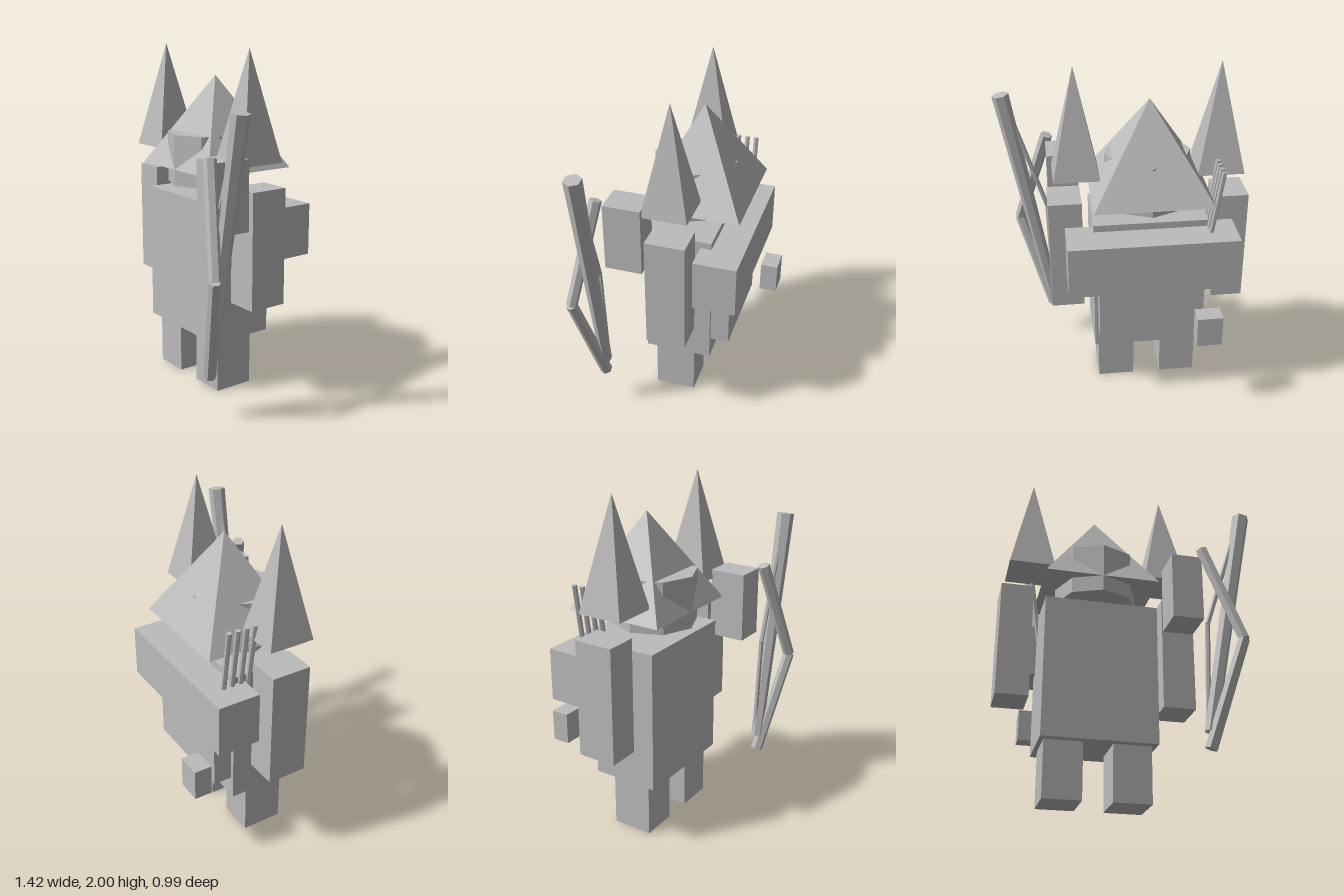
import * as THREE from 'three';

export function createModel() {
  const model = new THREE.Group();
  model.name = 'blockyArcher';
  const grey = new THREE.MeshStandardMaterial({ color: 0xbcbcbc });
  grey.name = 'plainGrey';
  grey.flatShading = true;

  const add = (name, geometry, parent = model) => {
    const mesh = new THREE.Mesh(geometry, grey);
    mesh.name = name;
    parent.add(mesh);
    return mesh;
  };
  const group = (name) => {
    const g = new THREE.Group();
    g.name = name;
    model.add(g);
    return g;
  };
  // Box given by its extents on each axis
  const box = (name, [x0, x1], [y0, y1], [z0, z1]) =>
    add(name, new THREE.BoxGeometry(x1 - x0, y1 - y0, z1 - z0))
      .position.set((x0 + x1) / 2, (y0 + y1) / 2, (z0 + z1) / 2);
  // Four-sided pyramid with its sides along the axes
  const pyramid = (name, x, z, width, depth, y0, y1) => {
    const g = new THREE.ConeGeometry(Math.SQRT1_2, y1 - y0, 4);
    g.rotateY(Math.PI / 4).scale(width, 1, depth);
    add(name, g).position.set(x, (y0 + y1) / 2, z);
  };
  // Six-sided rod between two points
  const rod = (name, from, to, rFrom, rTo, parent) => {
    const a = new THREE.Vector3(...from), b = new THREE.Vector3(...to);
    const dir = b.clone().sub(a);
    const g = new THREE.CylinderGeometry(rTo, rFrom, dir.length(), 6);
    g.rotateY(Math.PI / 6);
    const mesh = add(name, g, parent);
    mesh.position.copy(a).add(b).multiplyScalar(0.5);
    mesh.quaternion.setFromUnitVectors(new THREE.Vector3(0, 1, 0), dir.normalize());
  };

  // Body and limbs
  box('torso', [-0.465, 0.185], [0.32, 1.145], [-0.22, 0.175]);
  box('rightLeg', [-0.44, -0.225], [0, 0.32], [-0.115, 0.125]);
  box('leftLeg', [-0.06, 0.156], [0, 0.32], [-0.115, 0.125]);
  box('rightArm', [-0.71, -0.525], [0.57, 1.245], [-0.14, 0.09]);
  box('leftArm', [0.24, 0.43], [0.57, 1.245], [-0.14, 0.09]);
  box('raisedForearm', [0.24, 0.42], [1.03, 1.43], [0.11, 0.325]);

  // Bedroll, pack and pouch on the back
  box('bedroll', [-0.617, 0.34], [0.8, 1.105], [-0.405, -0.155]);
  box('backpack', [-0.44, 0.165], [0.445, 0.8], [-0.33, -0.195]);
  box('pouch', [-0.52, -0.375], [0.475, 0.66], [-0.5, -0.395]);

  // Eight-sided head under a pointed hat
  add('head', new THREE.CylinderGeometry(0.243, 0.243, 0.297, 8)).position.set(-0.14, 1.354, -0.028);
  pyramid('hat', -0.14, -0.08, 0.665, 0.59, 1.3, 1.83);

  // Shoulder spikes
  pyramid('rightShoulderSpike', -0.543, -0.005, 0.265, 0.265, 1.38, 2);
  pyramid('leftShoulderSpike', 0.264, -0.01, 0.262, 0.262, 1.38, 2);

  // Arrows
  const arrows = group('arrows');
  for (const z of [-0.288, -0.235, -0.182, -0.132])
    rod('arrow', [-0.44, 0.9, z], [-0.523, 1.47, z], 0.015, 0.015, arrows);

  // Bow: long stave, bent limbs and string
  const bow = group('bow');
  rod('stave', [0.415, 0.345, 0.36], [0.665, 1.715, 0.362], 0.035, 0.05, bow);
  const elbow = [0.595, 0.86, 0.465];
  rod('upperLimb', elbow, [0.41, 1.455, 0.362], 0.033, 0.036, bow);
  rod('lowerLimb', elbow, [0.41, 0.25, 0.365], 0.033, 0.036, bow);
  const nock = [0.425, 0.98, 0.36];
  rod('upperString', nock, [0.62, 1.6, 0.36], 0.014, 0.014, bow);
  rod('lowerString', nock, [0.408, 0.345, 0.345], 0.014, 0.014, bow);

  return model;
}
